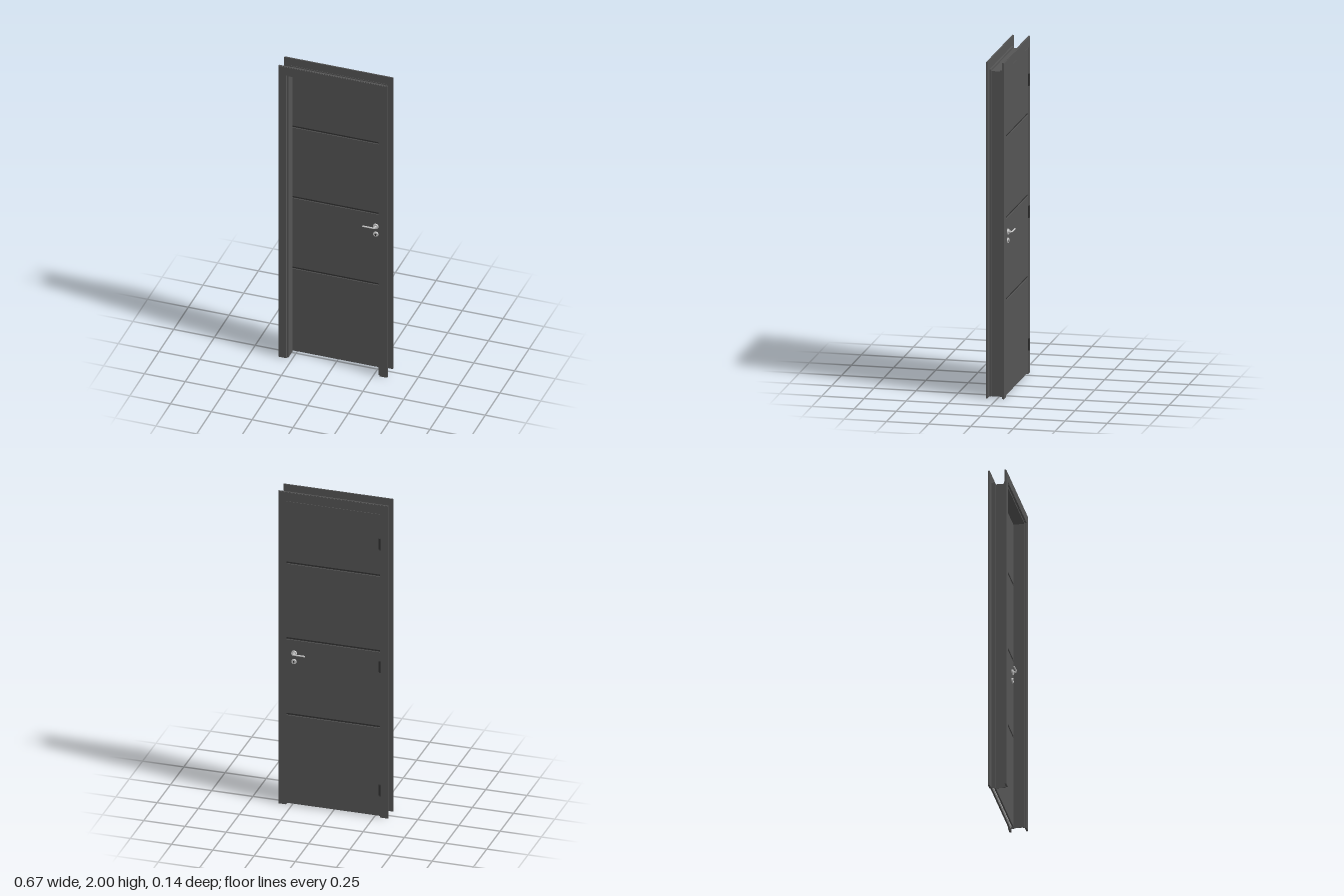
import * as THREE from 'three';

const dark = new THREE.MeshStandardMaterial({ color: 0x555555 });
const darker = new THREE.MeshStandardMaterial({ color: 0x333333 });
const metal = new THREE.MeshStandardMaterial({ color: 0xcccccc });

function add(parent, name, geometry, material, x = 0, y = 0, z = 0) {
  const mesh = new THREE.Mesh(geometry, material);
  mesh.name = name;
  mesh.position.set(x, y, z);
  parent.add(mesh);
  return mesh;
}

// Box given by its limits in y and z, centred on x
function slab(parent, name, halfWidth, y0, y1, z0, z1, material = dark) {
  return add(parent, name, new THREE.BoxGeometry(halfWidth * 2, y1 - y0, z1 - z0), material,
    0, (y0 + y1) / 2, (z0 + z1) / 2);
}

// Portal outline (two legs and a head) extruded from z0 to z1
function portal(parent, name, outer, top, inner, innerTop, z0, z1) {
  const shape = new THREE.Shape([
    [-outer, 0], [-inner, 0], [-inner, innerTop], [inner, innerTop],
    [inner, 0], [outer, 0], [outer, top], [-outer, top],
  ].map(([x, y]) => new THREE.Vector2(x, y)));
  const geometry = new THREE.ExtrudeGeometry(shape, { depth: z1 - z0, bevelEnabled: false });
  return add(parent, name, geometry, dark, 0, 0, z0);
}

// Casing with its outer face edges eased; s is the direction it faces
function casing(parent, name, zBack, s) {
  const layers = [[0, 0.007, 0], [0.007, 0.0095, 0.001], [0.0095, 0.011, 0.003]];
  const group = new THREE.Group();
  group.name = name;
  for (const [a, b, inset] of layers) {
    const za = zBack + s * a, zb = zBack + s * b;
    portal(group, 'casingLayer', 0.333 - inset, 2 - inset, 0.284 + inset * 0.5, 1.941 + inset * 0.5,
      Math.min(za, zb), Math.max(za, zb));
  }
  parent.add(group);
}

// Lever, rosette and keyhole cover; s is the side of the leaf
function handle(name, face, s) {
  const g = new THREE.Group();
  g.name = name;
  g.position.set(0.237, 0, face);
  const disc = (part, r, y, depth, z, material = metal) => {
    const mesh = add(g, part, new THREE.CylinderGeometry(r * 0.93, r, depth, 28), material, 0, y, s * (z + depth / 2));
    mesh.rotation.x = s * Math.PI / 2;
    return mesh;
  };
  disc('rosette', 0.017, 0.975, 0.008, 0);
  disc('neck', 0.0075, 0.975, 0.012, 0.007);
  disc('keyRosette', 0.016, 0.922, 0.007, 0);
  disc('cylinderLock', 0.0055, 0.922, 0.001, 0.007, darker);
  const keySlot = slab(g, 'keySlot', 0.0018, 0.912, 0.921, -0.0005, 0.0005, darker);
  keySlot.position.z = s * 0.0075;
  const path = new THREE.CurvePath();
  const v = (x, z) => new THREE.Vector3(x, 0.975, s * z);
  path.add(new THREE.LineCurve3(v(0, 0.012), v(0, 0.018)));
  path.add(new THREE.QuadraticBezierCurve3(v(0, 0.018), v(0, 0.0265), v(-0.012, 0.0265)));
  path.add(new THREE.LineCurve3(v(-0.012, 0.0265), v(-0.073, 0.0265)));
  add(g, 'lever', new THREE.TubeGeometry(path, 40, 0.0046, 14, false), metal);
  const cap = add(g, 'leverEnd', new THREE.CylinderGeometry(0.0046, 0.0046, 0.001, 14), metal, -0.073, 0.975, s * 0.0265);
  cap.rotation.z = Math.PI / 2;
  return g;
}

export function createModel() {
  const model = new THREE.Group();
  model.name = 'interiorDoor';

  // Frame: two casings, thin jamb lining and the tongues joining them
  const frame = new THREE.Group();
  frame.name = 'frame';
  model.add(frame);
  casing(frame, 'frontCasing', 0.057, 1);
  casing(frame, 'backCasing', -0.03, -1);
  portal(frame, 'jambLining', 0.2786, 1.935, 0.2755, 1.932, -0.008, 0.057);
  portal(frame, 'frontTongue', 0.287, 1.946, 0.2775, 1.934, 0.047, 0.057);
  portal(frame, 'rebate', 0.286, 1.943, 0.2835, 1.9405, -0.03, -0.01);
  portal(frame, 'rebateStop', 0.286, 1.943, 0.2755, 1.932, -0.01, -0.007);
  portal(frame, 'backTongue', 0.294, 1.95, 0.2835, 1.9405, -0.032, -0.028);

  // Leaf: a core with four panels per face, parted by grooves
  const leaf = new THREE.Group();
  leaf.name = 'leaf';
  model.add(leaf);
  slab(leaf, 'core', 0.283, 0.01, 1.94, -0.034, -0.0125);
  const centres = [0.58, 1.065, 1.549];
  const half = 0.008;
  for (let i = 0; i < 4; i++) {
    const y0 = i === 0 ? 0.01 : centres[i - 1] + half;
    const y1 = i === 3 ? 1.94 : centres[i] - half;
    slab(leaf, 'backPanel', 0.283, y0, y1, -0.0395, -0.034);
    slab(leaf, 'frontPanel', 0.2753, y0, Math.min(y1, 1.932), -0.0125, -0.008);
  }
  // Inlaid strip in each groove
  for (const y of centres) {
    slab(leaf, 'backGrooveStrip', 0.283, y - 0.004, y + 0.004, -0.036, -0.034, darker);
    slab(leaf, 'frontGrooveStrip', 0.2753, y - 0.004, y + 0.004, -0.0125, -0.0105, darker);
  }
  slab(leaf, 'bottomSeal', 0.2753, 0.004, 0.01, -0.027, -0.018, metal);

  // Hinges on the back, along the right edge
  for (const y of [0.175, 0.965, 1.75]) {
    const hinge = new THREE.Group();
    hinge.name = 'hinge';
    hinge.position.set(-0.287, y, -0.0445);
    add(hinge, 'hingeBarrelLower', new THREE.CylinderGeometry(0.0045, 0.0045, 0.034, 16), darker, 0, -0.018, 0);
    add(hinge, 'hingeBarrelUpper', new THREE.CylinderGeometry(0.0045, 0.0045, 0.034, 16), darker, 0, 0.018, 0);
    add(hinge, 'hingePin', new THREE.CylinderGeometry(0.0035, 0.0035, 0.074, 12), darker);
    add(hinge, 'hingePlate', new THREE.BoxGeometry(0.014, 0.07, 0.002), darker, 0.004, 0, 0.0035);
    model.add(hinge);
  }

  model.add(handle('backHandle', -0.0395, -1), handle('frontHandle', -0.008, 1));
  return model;
}
